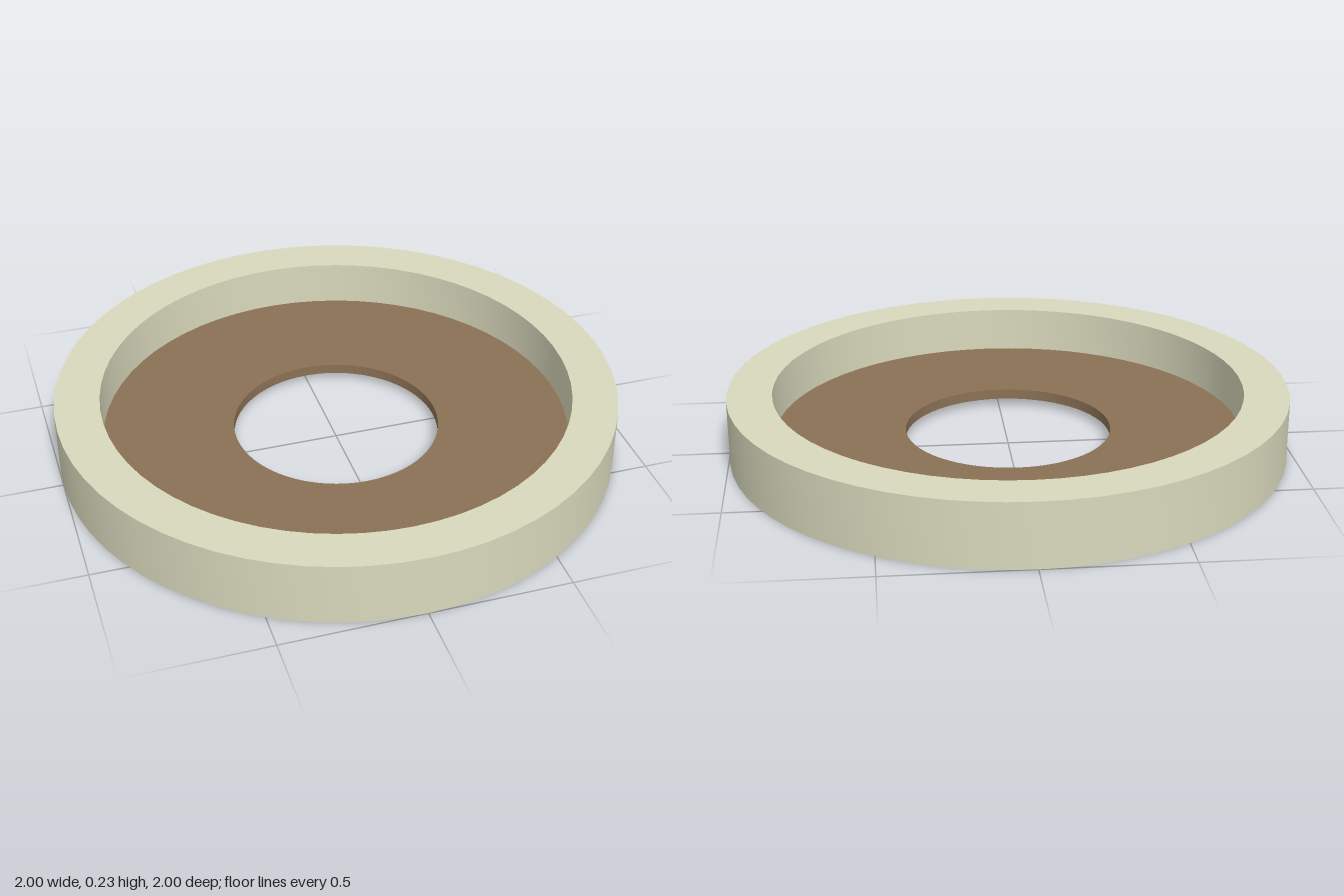
import * as THREE from 'three';
import { toCreasedNormals } from 'three/addons/utils/BufferGeometryUtils.js';

// Rectangular section revolved around y: smooth walls, sharp rims
function ring(name, inner, outer, bottom, top, color) {
  const profile = [
    [inner, bottom], [outer, bottom], [outer, top], [inner, top], [inner, bottom],
  ].map(([r, y]) => new THREE.Vector2(r, y));
  const geometry = toCreasedNormals(new THREE.LatheGeometry(profile, 64), Math.PI / 5);
  const mesh = new THREE.Mesh(geometry, new THREE.MeshStandardMaterial({ color }));
  mesh.name = name;
  return mesh;
}

export function createModel() {
  const model = new THREE.Group();
  model.name = 'ringTray';

  // Tall pale outer wall
  model.add(ring('outerRim', 0.84, 1, 0, 0.23, 0xd9d9bd));

  // Thin brown floor with a central hole, raised slightly off the ground
  model.add(ring('floorDisc', 0.37, 0.84, 0.028, 0.065, 0x8b7155));

  return model;
}
